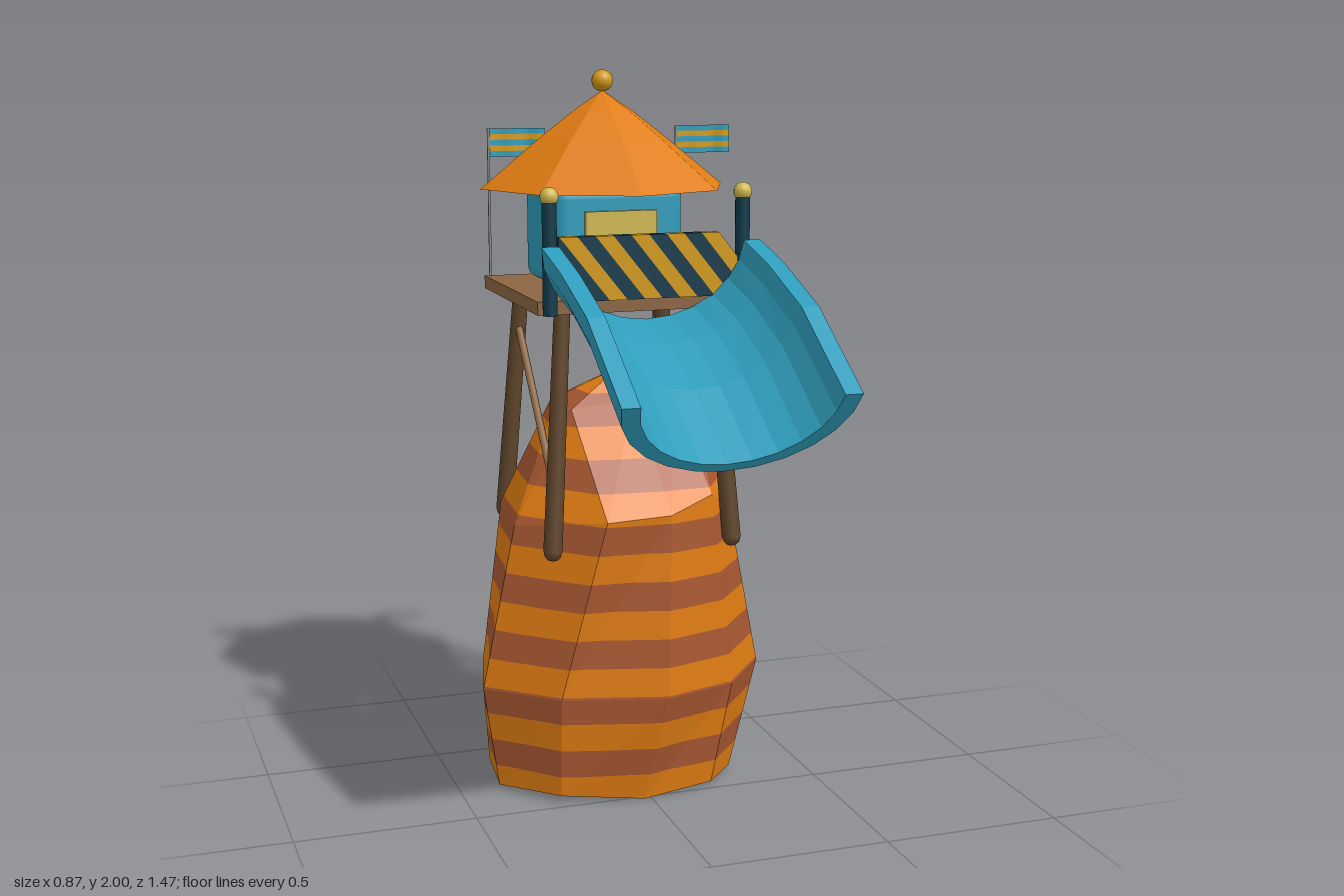
import * as THREE from 'three';
import { RoundedBoxGeometry } from 'three/addons/geometries/RoundedBoxGeometry.js';

const paint = (name, color, side = THREE.FrontSide) => {
  const m = new THREE.MeshStandardMaterial({ color, side });
  m.name = name;
  return m;
};
const V = (x, y, z) => new THREE.Vector3(x, y, z);
const CX = -0.012; // centre line of the tower

// Flat-shaded geometry from a list of convex polygons
function polygons(list) {
  const pts = [];
  for (const p of list) for (let i = 1; i < p.length - 1; i++) pts.push(p[0], p[i], p[i + 1]);
  const g = new THREE.BufferGeometry().setFromPoints(pts);
  g.computeVertexNormals();
  return g;
}

// Triangles joining neighbouring rows of points
function grid(rows, closed) {
  const out = [];
  for (let i = 0; i < rows.length - 1; i++) {
    const n = rows[i].length;
    for (let j = 0; j < (closed ? n : n - 1); j++) {
      const k = (j + 1) % n;
      const [a, b, c, d] = [rows[i][j], rows[i][k], rows[i + 1][k], rows[i + 1][j]];
      out.push([a, b, c], [a, c, d]);
    }
  }
  return out;
}

// Keep the part of a polygon where f >= 0 (f is linear)
function clip(poly, f) {
  const out = [];
  poly.forEach((p, i) => {
    const q = poly[(i + 1) % poly.length], a = f(p), b = f(q);
    if (a >= 0) out.push(p);
    if ((a >= 0) !== (b >= 0)) out.push(p.clone().lerp(q, a / (a - b)));
  });
  return out;
}
const slab = (poly, f, lo, hi) => clip(clip(poly, p => f(p) - lo), p => hi - f(p));

export function createModel() {
  const orange = paint('orange', 0xe07c12);
  const clay = paint('clay', 0xa95832);
  const teal = paint('teal', 0x2f9dbb, THREE.DoubleSide);
  const navy = paint('navy', 0x0f3a4a);
  const gold = paint('gold', 0xd39a14, THREE.DoubleSide);
  const paleGold = paint('paleGold', 0xd0b850);
  const wood = paint('wood', 0x8c6642);
  const darkWood = paint('darkWood', 0x5f452a);
  const grey = paint('grey', 0x8d8d86);

  const root = new THREE.Group();
  root.name = 'slideTower';
  const add = (name, geo, mat, x = 0, y = 0, z = 0, parent = root) => {
    const m = new THREE.Mesh(geo, mat);
    m.name = name;
    m.position.set(x, y, z);
    parent.add(m);
    return m;
  };
  const group = name => {
    const g = new THREE.Group();
    g.name = name;
    root.add(g);
    return g;
  };
  // Round bar from a (radius ra) to b (radius rb)
  const bar = (name, a, b, ra, rb, mat, sides = 10, parent = root) => {
    const d = b.clone().sub(a), mid = a.clone().add(b).multiplyScalar(0.5);
    const m = add(name, new THREE.CylinderGeometry(rb, ra, d.length(), sides), mat, mid.x, mid.y, mid.z, parent);
    m.quaternion.setFromUnitVectors(V(0, 1, 0), d.normalize());
  };

  // Striped rock: faceted rings cut into level bands
  const ring = (ys, xz) => xz.map(([x, z], i) => V(x, ys[i % ys.length], z));
  const same = p => Array(9).fill(p);
  const rock = grid([
    same(V(-0.03, 0.1, -0.3)),
    ring([0.005, 0.015, 0.02, 0.01, 0, 0.015, 0.02, 0, 0.012], [[0.29, -0.14], [0.28, -0.4], [0.13, -0.59],
      [-0.12, -0.58], [-0.36, -0.42], [-0.39, -0.18], [-0.25, -0.03], [-0.02, 0.015], [0.19, -0.02]]),
    ring([0.31], [[0.385, -0.17], [0.34, -0.4], [0.17, -0.605], [-0.12, -0.605], [-0.38, -0.4],
      [-0.435, -0.165], [-0.255, 0], [0.03, 0.078], [0.24, 0.01]]),
    ring([0.81, 0.85, 0.86, 0.8, 0.78, 0.77, 0.81, 0.82, 0.86], [[0.265, -0.1], [0.27, -0.42], [0.1, -0.62],
      [-0.13, -0.61], [-0.31, -0.43], [-0.335, -0.18], [-0.13, 0.03], [0.05, 0.04], [0.18, 0]]),
    ring([1.1, 1.1, 1.11, 1.11, 1.08, 1.06, 1.08, 1.1, 1.09], [[0.2, -0.25], [0.17, -0.36], [0.06, -0.42],
      [-0.08, -0.41], [-0.18, -0.36], [-0.2, -0.27], [-0.16, -0.21], [0.02, -0.2], [0.14, -0.21]]),
    same(V(0, 1.18, -0.28)),
  ], true);
  const bands = [[], []];
  for (let k = 0; k < 15; k++) {
    for (const t of rock) {
      const p = slab(t, v => v.y, k * 0.08 - 0.003, (k + 1) * 0.08 - 0.003);
      if (p.length > 2) bands[k % 2].push(p);
    }
  }
  add('rockOrangeBands', polygons(bands[0]), orange);
  add('rockClayBands', polygons(bands[1]), clay);

  // Platform, splayed legs and diagonal braces
  add('platform', new THREE.BoxGeometry(0.595, 0.036, 0.58), wood, CX, 1.397, -0.29);
  for (const s of [-1, 1]) {
    for (const [z0, z1] of [[-0.02, -0.068], [-0.54, -0.495]]) {
      const foot = V(CX + s * 0.258, 0.73, z0);
      bar('leg', foot, V(CX + s * 0.212, 1.385, z1), 0.026, 0.022, darkWood);
      add('legTip', new THREE.SphereGeometry(0.026, 10, 6), darkWood, foot.x, foot.y, foot.z);
    }
    bar('brace', V(CX + s * 0.245, 0.89, -0.04), V(CX + s * 0.22, 1.28, -0.5), 0.011, 0.011, wood, 8);
  }

  // Ladder on the back corner
  const ladder = group('ladder');
  for (const z of [-0.588, -0.637]) bar('ladderRail', V(0.228, 0.72, z), V(0.228, 1.4, z), 0.006, 0.006, darkWood, 6, ladder);
  for (let i = 0; i < 8; i++) {
    const y = 0.77 + i * 0.088;
    bar('ladderRung', V(0.228, y, -0.588), V(0.228, y, -0.637), 0.005, 0.005, darkWood, 6, ladder);
  }

  // Cabin with sign, and eight-sided roof with finial
  add('cabin', new RoundedBoxGeometry(0.375, 0.285, 0.32, 4, 0.04), teal, CX, 1.555, -0.38);
  add('sign', new THREE.BoxGeometry(0.205, 0.095, 0.014), paleGold, CX, 1.578, -0.215);
  const profile = [[0, 1.685], [0.354, 1.68], [0.185, 1.815], [0.085, 1.89], [0, 1.945]].map(p => new THREE.Vector2(...p));
  const roof = new THREE.LatheGeometry(profile, 8).toNonIndexed();
  roof.computeVertexNormals();
  add('roof', roof, orange, CX, 0, -0.383);
  add('finial', new THREE.SphereGeometry(0.03, 16, 12), gold, CX, 1.972, -0.383);

  // Wavy striped flags on thin poles
  for (const x of [-0.295, 0.27]) {
    const flag = group('flag');
    bar('flagPole', V(x, 1.41, -0.567), V(x, 1.835, -0.567), 0.004, 0.004, grey, 6, flag);
    for (let i = 0; i < 5; i++) {
      const g = new THREE.PlaneGeometry(0.165, 0.016, 12, 1).translate(0.0825, 0, 0);
      const p = g.attributes.position;
      for (let j = 0; j < p.count; j++) {
        const u = p.getX(j) / 0.165;
        p.setZ(j, -0.009 * u * Math.sin(u * 12) - 0.003 * Math.sin(u * 6));
      }
      g.computeVertexNormals();
      add('flagStripe', g, i % 2 ? gold : teal, x, 1.827 - i * 0.016, -0.567, flag);
    }
  }

  // Gate posts with ball tops
  for (const s of [-1, 1]) {
    const x = CX + s * 0.268;
    bar('gatePost', V(x, 1.38, 0.015), V(x, 1.68, 0.015), 0.02, 0.02, navy, 12);
    add('gatePostBall', new THREE.SphereGeometry(0.025, 14, 10), paleGold, x, 1.69, 0.015);
  }

  // Gate board cut into diagonal stripes
  const board = [[-0.26, 1.585], [-0.26, 1.49], [-0.18, 1.415], [0.165, 1.415], [0.237, 1.49], [0.237, 1.585]]
    .map(([x, y]) => V(x, y, 0));
  const gate = group('gateBoard');
  const slant = p => p.x + 0.8 * (p.y - 1.585);
  for (let k = -10; k < 8; k++) {
    const mid = -0.183 + k * 0.049;
    const p = slab(board, slant, mid - 0.0245, mid + 0.0245);
    if (p.length < 3) continue;
    const shape = new THREE.Shape(p.map(v => new THREE.Vector2(v.x, v.y)));
    const g = new THREE.ExtrudeGeometry(shape, { depth: 0.028, bevelEnabled: false });
    add('gateStripe', g, k % 2 ? gold : navy, 0, 0, 0.001, gate);
  }

  // Half-pipe slide: stations give rim z, y and bottom z, y
  const stations = [[0.06, 1.565, 0, 1.335], [0.24, 1.518, 0.185, 1.298], [0.46, 1.44, 0.38, 1.21], [0.735, 1.268, 0.603, 1.072]];
  const arc = ([rz, ry, bz, by], r, depth) => Array.from({ length: 13 }, (_, i) => {
    const a = (i / 12) * Math.PI, s = Math.sin(a) * depth;
    return V(CX - Math.cos(a) * r, ry + (by - ry) * s, rz + (bz - rz) * s);
  });
  const outer = stations.map(s => arc(s, 0.302, 1));
  const inner = stations.map(s => arc(s, 0.255, 0.9));
  const loops = outer.map((o, i) => [...o, ...inner[i].slice().reverse()]);
  add('slide', polygons([
    ...grid(loops, true),
    ...grid([inner[0], outer[0]], false),
    ...grid([outer[3], inner[3]], false),
  ]), teal);

  return root;
}
